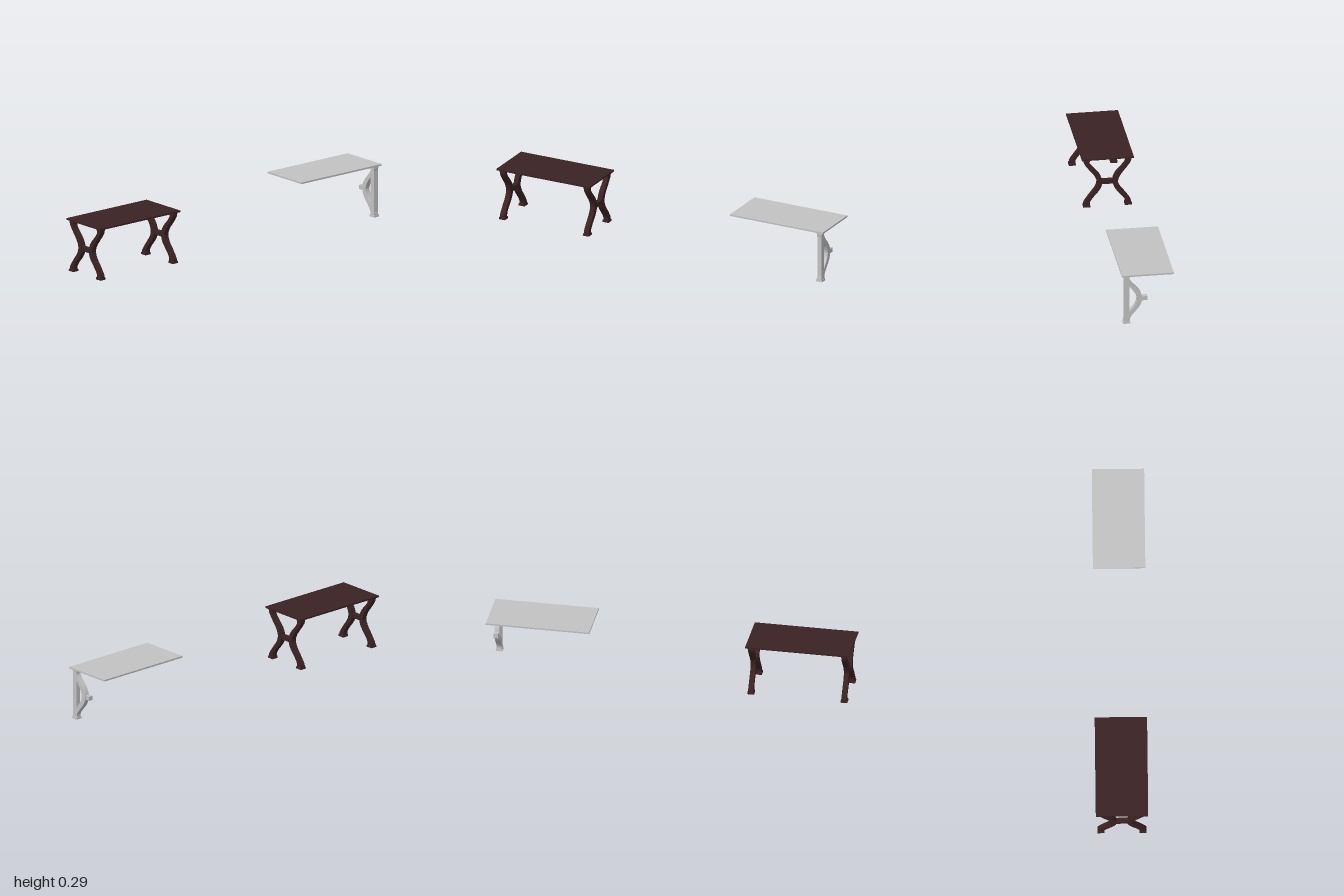
import * as THREE from 'three';

const brown = new THREE.MeshStandardMaterial({ color: 0x3b2223 });
brown.name = 'dark brown wood';
const grey = new THREE.MeshStandardMaterial({ color: 0xc2c2c2 });
grey.name = 'pale grey';

const DEPTH = 0.028;
const v = (x, y) => new THREE.Vector2(x, y);

// Outer and inner edges of the curved leg, bottom to top
const outer = [v(0.129, 0.01), v(0.128, 0.025), v(0.112, 0.05), v(0.091, 0.079), v(0.069, 0.108), v(0.057, 0.144),
  v(0.069, 0.18), v(0.091, 0.21), v(0.112, 0.237), v(0.128, 0.262), v(0.13, 0.276)];
const inner = [v(0.097, 0.01), v(0.096, 0.03), v(0.079, 0.056), v(0.055, 0.084), v(0.039, 0.107), v(0.03, 0.132),
  v(0.03, 0.156), v(0.039, 0.181), v(0.054, 0.204), v(0.08, 0.232), v(0.098, 0.257), v(0.098, 0.276)];

function add(parent, name, geometry, material, x = 0, y = 0, z = 0) {
  const mesh = new THREE.Mesh(geometry, material);
  mesh.name = name;
  mesh.position.set(x, y, z);
  parent.add(mesh);
  return mesh;
}

function box(parent, name, material, x0, x1, y0, y1, depth) {
  add(parent, name, new THREE.BoxGeometry(x1 - x0, y1 - y0, depth), material, (x0 + x1) / 2, (y0 + y1) / 2);
}

// Curved leg, mirrored by side (+1 or -1)
function legGeometry(side) {
  const a = new THREE.SplineCurve(outer).getPoints(24);
  const b = new THREE.SplineCurve(inner).getPoints(24).reverse();
  const shape = new THREE.Shape([...a, ...b].map((p) => v(p.x * side, p.y)));
  const geometry = new THREE.ExtrudeGeometry(shape, { depth: DEPTH, bevelEnabled: false });
  return geometry.translate(0, 0, -DEPTH / 2);
}

// Square block with a slightly narrower upper end
function footGeometry() {
  const geometry = new THREE.BoxGeometry(0.039, 0.012, 0.037);
  const pos = geometry.attributes.position;
  for (let i = 0; i < pos.count; i++) {
    if (pos.getY(i) > 0) pos.setXYZ(i, pos.getX(i) * 0.94, pos.getY(i), pos.getZ(i) * 0.94);
  }
  geometry.computeVertexNormals();
  return geometry;
}

// One curved leg with its foot and top block
function addLeg(parent, side, material) {
  const leg = new THREE.Group();
  leg.name = side > 0 ? 'leftLeg' : 'rightLeg';
  add(leg, 'curvedLeg', legGeometry(side), material);
  add(leg, 'foot', footGeometry(), material, side * 0.114, 0.006, 0);
  add(leg, 'topBlock', new THREE.BoxGeometry(0.034, 0.012, 0.032), material, side * 0.114, 0.28, 0);
  parent.add(leg);
}

function addTop(parent, material, z) {
  add(parent, 'tableTop', new THREE.BoxGeometry(0.284, 0.009, 0.57), material, 0, 0.2905, z);
}

export function createModel() {
  const model = new THREE.Group();
  model.name = 'tables';

  // Complete table with two trestles
  const table = new THREE.Group();
  table.name = 'brownTable';
  addTop(table, brown, 0.715);
  for (const z of [0.972, 0.458]) {
    const trestle = new THREE.Group();
    trestle.name = 'trestle';
    trestle.position.z = z;
    for (const side of [1, -1]) addLeg(trestle, side, brown);
    box(trestle, 'crossbar', brown, -0.034, 0.034, 0.132, 0.156, 0.026);
    table.add(trestle);
  }
  model.add(table);

  // Partial table with a single half trestle and a straight post
  const partial = new THREE.Group();
  partial.name = 'greyTable';
  addTop(partial, grey, -0.715);
  const half = new THREE.Group();
  half.name = 'halfTrestle';
  half.position.z = -0.971;
  addLeg(half, 1, grey);
  box(half, 'crossbarStub', grey, 0, 0.034, 0.132, 0.156, 0.026);
  box(half, 'post', grey, 0.1, 0.1275, 0.01, 0.28, 0.027);
  partial.add(half);
  model.add(partial);

  return model;
}
